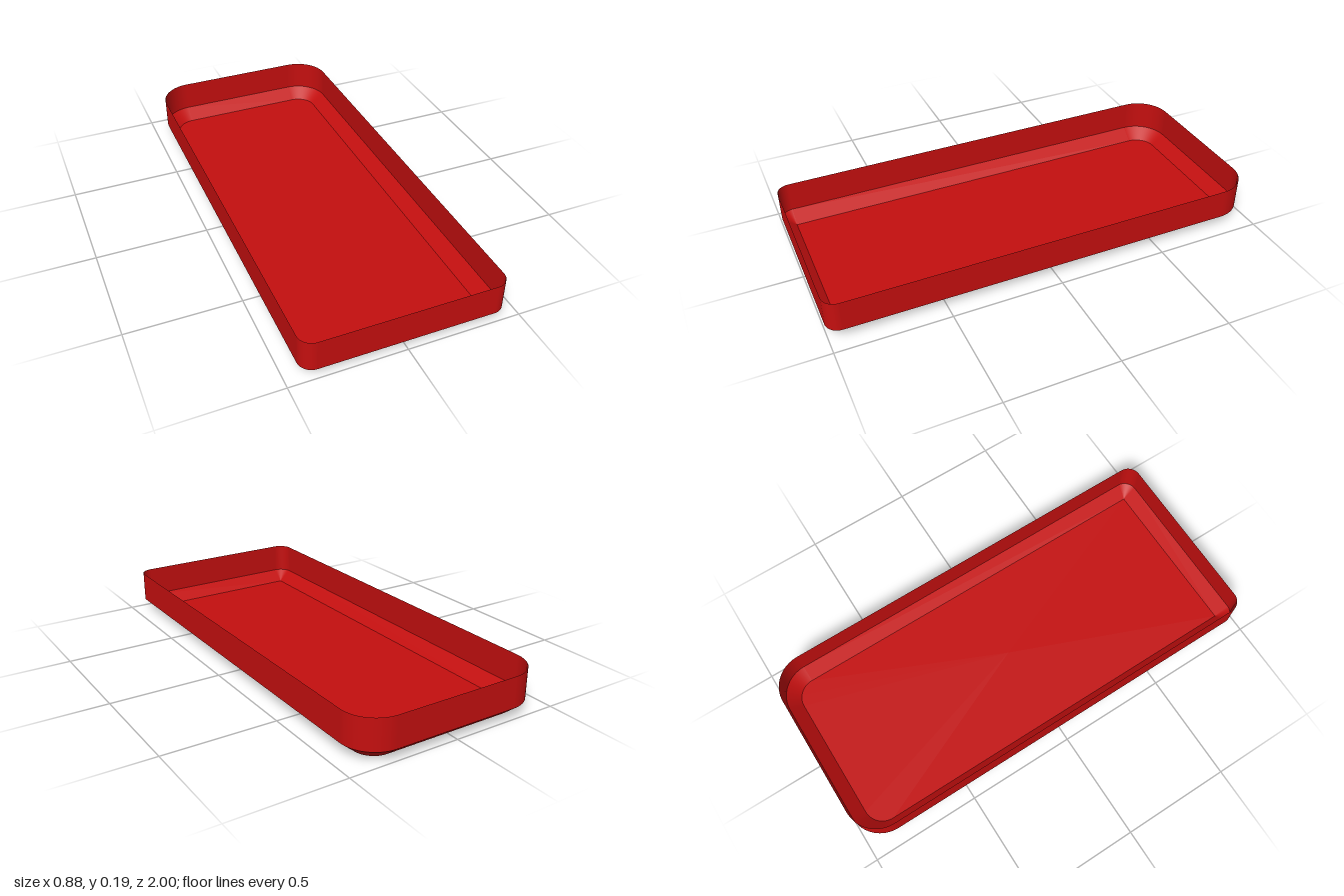
import * as THREE from 'three';

const HALF_W = 0.44, HALF_L = 1, HEIGHT = 0.19;
const BEVEL_H = 0.05, INSET = 0.06;
const FRONT_R = 0.06, BACK_R = 0.15, STEPS = 16;

// Rounded outline at height y, moved inwards by inset; each point keeps its outward direction
function outline(y, inset) {
  const points = [];
  for (let q = 0; q < 4; q++) {
    const r = q < 2 ? FRONT_R : BACK_R;
    const cx = (q === 0 || q === 3 ? 1 : -1) * (HALF_W - r);
    const cz = (q < 2 ? 1 : -1) * (HALF_L - r);
    for (let i = 0; i <= STEPS; i++) {
      const a = (q + i / STEPS) * Math.PI / 2;
      const nx = Math.cos(a), nz = Math.sin(a);
      points.push({ x: cx + nx * (r - inset), y, z: cz + nz * (r - inset), nx, nz });
    }
  }
  return points;
}

// Closed band between two loops; normals lean outwards by out and upwards by up
function band(lower, upper, out, up) {
  const position = [], normal = [], index = [];
  const n = lower.length, len = Math.hypot(out, up);
  for (let i = 0; i < n; i++) {
    for (const p of [lower[i], upper[i]]) {
      position.push(p.x, p.y, p.z);
      normal.push(upper[i].nx * out / len, up / len, upper[i].nz * out / len);
    }
    const a = 2 * i, b = 2 * ((i + 1) % n);
    index.push(a, a + 1, b, b, a + 1, b + 1);
  }
  const g = new THREE.BufferGeometry();
  g.setAttribute('position', new THREE.Float32BufferAttribute(position, 3));
  g.setAttribute('normal', new THREE.Float32BufferAttribute(normal, 3));
  g.setIndex(index);
  return g;
}

export function createModel() {
  const tray = new THREE.Group();
  tray.name = 'tray';
  const material = new THREE.MeshStandardMaterial({ color: 0xc40f0f, side: THREE.DoubleSide });
  const add = (name, geometry) => {
    const mesh = new THREE.Mesh(geometry, material);
    mesh.name = name;
    tray.add(mesh);
  };

  const rim = outline(HEIGHT, 0);
  const shoulder = outline(BEVEL_H, 0);
  const base = outline(0, INSET);
  const centre = base.map(() => ({ x: 0, y: 0, z: 0 }));

  // Thin upright wall, open at the top
  add('sideWall', band(shoulder, rim, 1, 0));
  // Sloped edge from the floor up to the wall
  add('bevel', band(base, shoulder, BEVEL_H, -INSET));
  // Flat floor
  add('floor', band(centre, base, 0, -1));

  return tray;
}
